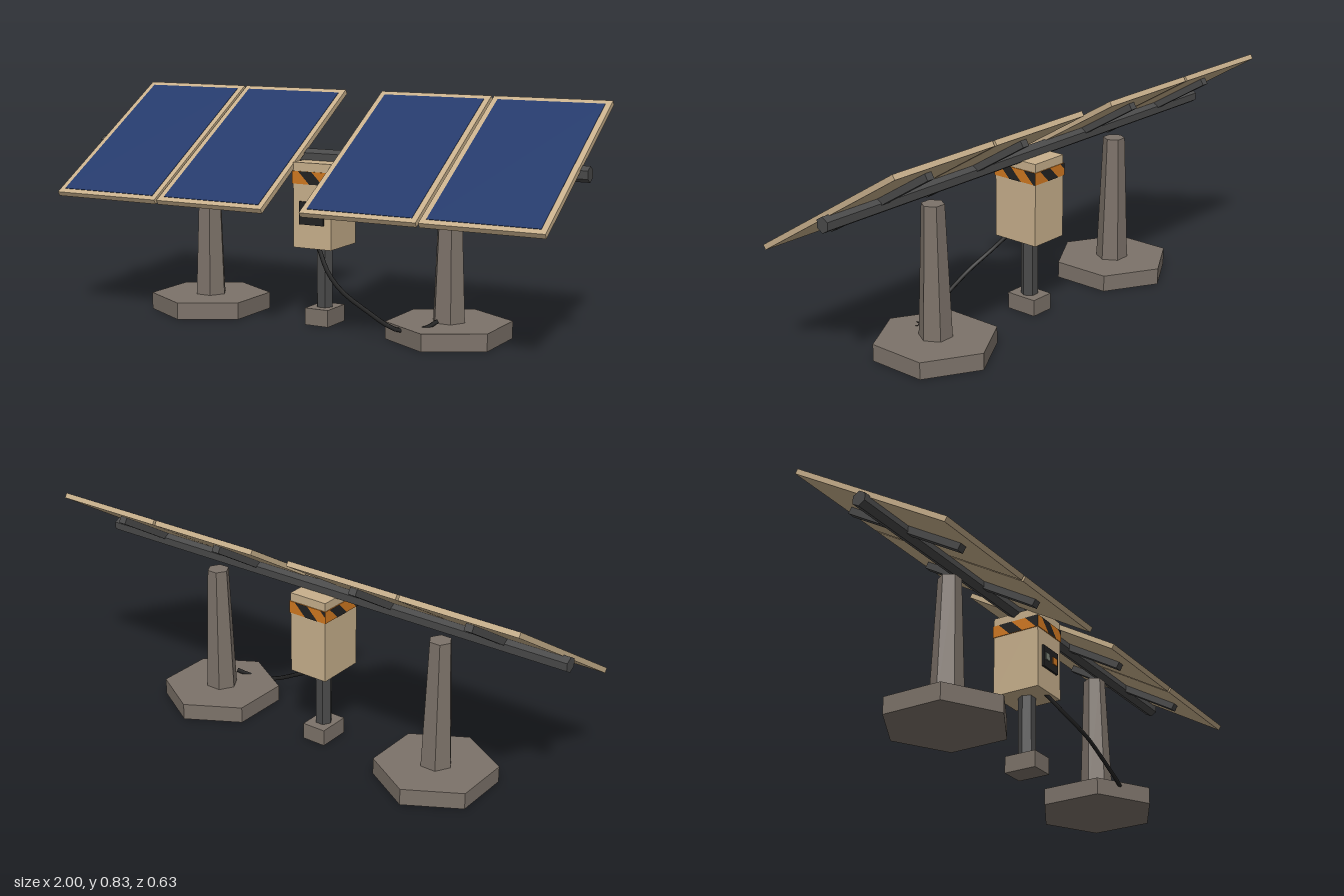
import * as THREE from 'three';

const mat = (name, color) => {
  const m = new THREE.MeshStandardMaterial({ color });
  m.name = name;
  return m;
};

export function createModel() {
  const root = new THREE.Group();
  root.name = 'solarArray';
  const tan = mat('tan paint', 0xc8b08c);
  const blue = mat('solar blue', 0x253a6b);
  const concrete = mat('concrete', 0x7c7269);
  const steel = mat('dark steel', 0x4a4a4a);
  const black = mat('black', 0x222222);
  const orange = mat('orange', 0xd07820);
  const grey = mat('grey screen', 0x7d8478);

  const add = (parent, name, geo, material, x = 0, y = 0, z = 0) => {
    const m = new THREE.Mesh(geo, material);
    m.name = name;
    m.position.set(x, y, z);
    parent.add(m);
    return m;
  };
  const box = (w, h, d) => new THREE.BoxGeometry(w, h, d);
  // Six-sided prism with flat faces, turned by an angle about its axis
  const hex = (rTop, rBottom, h, turn = 0) => {
    const g = new THREE.CylinderGeometry(rTop, rBottom, h, 6).rotateY(turn).toNonIndexed();
    g.computeVertexNormals();
    return g;
  };
  const zc = -0.007;

  // Concrete feet and tapered posts
  for (const s of [-1, 1]) {
    const side = s > 0 ? 'left' : 'right';
    add(root, side + 'Base', hex(0.2245, 0.2245, 0.0625), concrete, s * 0.5, 0.03125, zc);
    add(root, side + 'Post', hex(0.0415, 0.061, 0.4855, Math.PI / 6), concrete, s * 0.5, 0.30525, zc);
  }

  // Horizontal torque tube
  add(root, 'torqueTube', hex(0.028, 0.028, 2, Math.PI / 6).rotateZ(Math.PI / 2), steel, 0, 0.612, -0.015);

  // Tilted panels, each with a centre strut below
  const tilt = new THREE.Group();
  tilt.name = 'tiltedPanels';
  tilt.position.set(0, 0.638, -0.002);
  tilt.rotation.x = 0.5475;
  root.add(tilt);
  for (const x of [-0.7515, -0.2985, 0.2985, 0.7515]) {
    add(tilt, 'panelFrame', box(0.443, 0.019, 0.723), tan, x);
    add(tilt, 'panelCells', box(0.401, 0.002, 0.679), blue, x, 0.0102);
    add(tilt, 'panelStrut', box(0.03, 0.025, 0.535), steel, x, -0.022);
  }

  // Control box on its pole
  const W = 0.155, D = 0.187;
  add(root, 'controlBox', box(W, 0.31, D), tan, 0, 0.445, zc);
  add(root, 'boxPole', hex(0.032, 0.032, 0.2275, Math.PI / 6), steel, 0, 0.17625, zc);
  add(root, 'poleFoot', box(0.095, 0.0625, 0.125), concrete, 0, 0.03125, zc);

  // Front panel with screen and lamp
  const front = zc + D / 2;
  add(root, 'controlPlate', box(0.098, 0.083, 0.008), black, 0, 0.4185, front + 0.004);
  add(root, 'screen', box(0.027, 0.027, 0.005), grey, -0.025, 0.42, front + 0.0095);
  add(root, 'lamp', box(0.027, 0.027, 0.005), orange, 0.025, 0.42, front + 0.0095);

  // Hazard band with slanted black stripes on all four sides
  const H = 0.046;
  const band = new THREE.Group();
  band.name = 'hazardBand';
  band.position.set(0, 0.5455, zc);
  root.add(band);
  const bw = W + 0.006, bd = D + 0.006;
  add(band, 'bandBase', box(bw, H, bd), orange);
  const stripe = (a, b, w) => {
    const pts = [[a, H], [Math.min(b, w), H]];
    if (b < w && b + H > w) pts.push([w, H - (w - b)]);
    if (a + H >= w) pts.push([w, H - (w - a)]);
    else pts.push([Math.min(b + H, w), 0], [a + H, 0]);
    const shape = new THREE.Shape(pts.map(([u, v]) => new THREE.Vector2(u - w / 2, v - H / 2)));
    return new THREE.ShapeGeometry(shape);
  };
  for (let i = 0; i < 4; i++) {
    const w = i % 2 ? bd : bw, off = (i % 2 ? bw : bd) / 2 + 0.001;
    for (const a of [0.025, 0.138]) {
      const g = stripe(a, a + 0.055, w).translate(0, 0, off).rotateY(i * Math.PI / 2);
      add(band, 'hazardStripe', g, black);
    }
  }

  // Cable drooping from the box to the left base
  const path = new THREE.CatmullRomCurve3([
    [0.01, 0.3, 0.06], [0.08, 0.22, 0.115], [0.155, 0.163, 0.148], [0.25, 0.11, 0.157],
    [0.38, 0.05, 0.155], [0.46, 0.055, 0.12], [0.5, 0.081, 0.085],
  ].map((p) => new THREE.Vector3(...p)));
  add(root, 'cable', new THREE.TubeGeometry(path, 16, 0.008, 6), black);

  return root;
}
